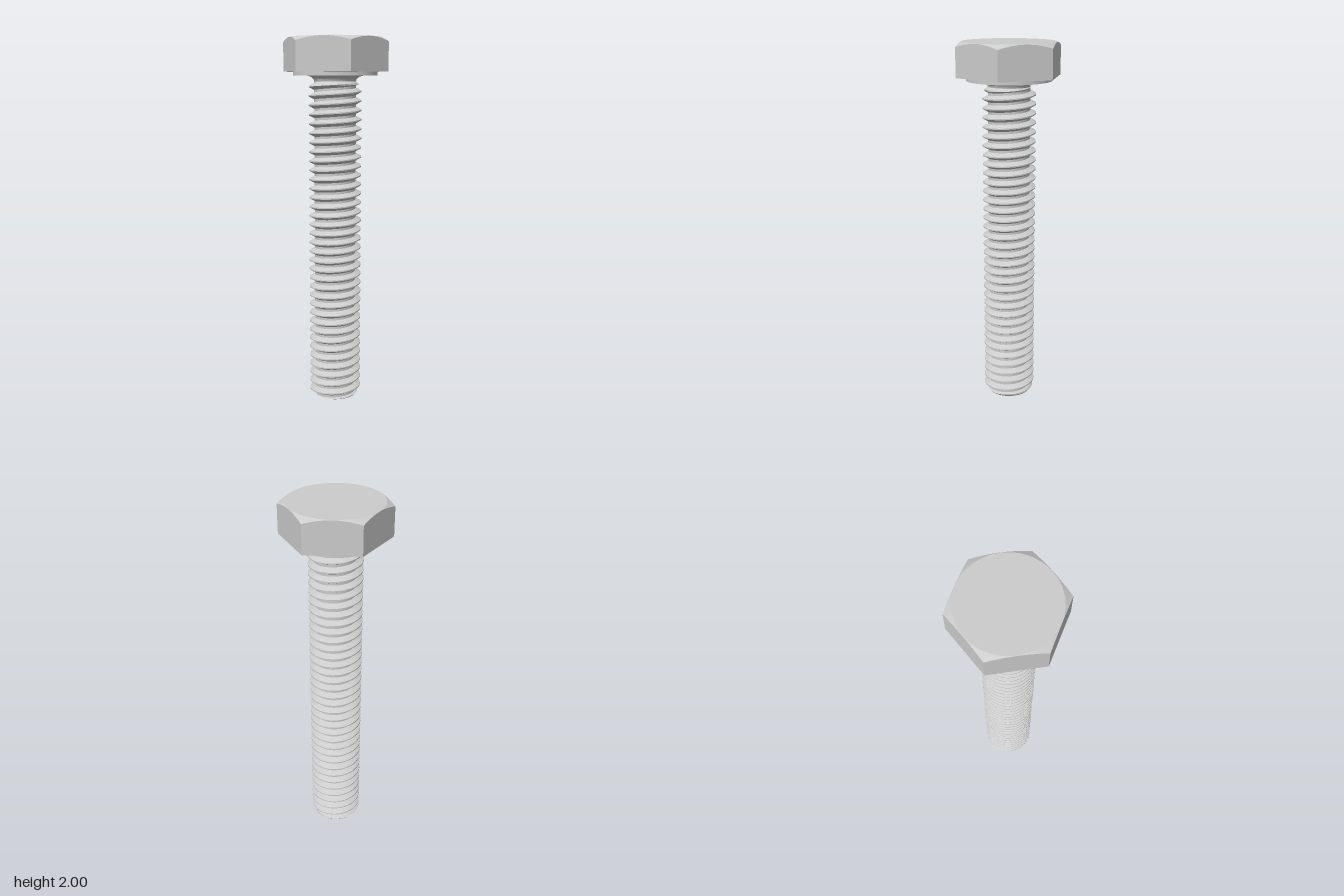
import * as THREE from 'three';
import { toCreasedNormals } from 'three/addons/utils/BufferGeometryUtils.js';

const CREST = 0.143, ROOT = 0.113, PITCH = 0.0504, PHASE = 0.009;
const SHANK_TOP = 1.768, SEAT = 1.799, HEAD_BOTTOM = 1.82, TOP = 2;
const APOTHEM = 0.252, CHAMFER_R = 0.25;

// Right-handed thread: rows follow the helix, ends are cut flat and chamfered
function threadGeometry() {
  const fractions = [-0.375, -0.22, -0.0625, 0.0625, 0.22, 0.375];
  const segments = 64, turns = Math.ceil(SHANK_TOP / PITCH) + 1;
  const positions = [], index = [];

  const radiusAt = (y, turn) => {
    let f = (y - PHASE) / PITCH - turn;
    f = Math.abs(f - Math.round(f));
    const depth = THREE.MathUtils.clamp((f - 0.0625) / 0.3125, 0, 1);
    const endLimit = Math.min(0.12 + y * 0.9, ROOT + (SHANK_TOP - y) * 1.2);
    return Math.min(CREST - depth * (CREST - ROOT), endLimit);
  };

  let rows = 0;
  for (let n = -2; n <= turns; n++) {
    for (const f of fractions) {
      for (let i = 0; i <= segments; i++) {
        const turn = i / segments, a = turn * Math.PI * 2;
        const y = THREE.MathUtils.clamp(PHASE + PITCH * (n + f + turn), 0, SHANK_TOP);
        const r = radiusAt(y, turn);
        positions.push(r * Math.cos(a), y, -r * Math.sin(a));
      }
      rows++;
    }
  }
  const w = segments + 1;
  for (let j = 0; j < rows - 1; j++) {
    for (let i = 0; i < segments; i++) {
      const a = j * w + i, b = a + 1, c = a + w, d = c + 1;
      index.push(a, b, d, a, d, c);
    }
  }
  // Flat tip
  const centre = positions.length / 3;
  positions.push(0, 0, 0);
  for (let i = 0; i < segments; i++) index.push(centre, i + 1, i);

  const g = new THREE.BufferGeometry();
  g.setAttribute('position', new THREE.Float32BufferAttribute(positions, 3));
  g.setIndex(index);
  return toCreasedNormals(g, 0.5);
}

// Hexagonal head: a lathe pushed out to six flats, with a conical top chamfer
function headGeometry() {
  const profile = [[0, HEAD_BOTTOM], [1, HEAD_BOTTOM], [1, 1.95], [CHAMFER_R, TOP], [0, TOP]]
    .map(([r, y]) => new THREE.Vector2(r, y));
  const g = new THREE.LatheGeometry(profile, 96);
  const p = g.attributes.position, sector = Math.PI / 3;
  for (let i = 0; i < p.count; i++) {
    const x = p.getX(i), z = p.getZ(i);
    if (Math.hypot(x, z) < 0.9) continue;
    const a = Math.atan2(x, z);
    const r = APOTHEM / Math.cos(a - Math.round(a / sector) * sector);
    const y = p.getY(i) > 1.9 ? TOP - (r - CHAMFER_R) * Math.tan(Math.PI / 6) : HEAD_BOTTOM;
    p.setXYZ(i, r * Math.sin(a), y, r * Math.cos(a));
  }
  return toCreasedNormals(g, 0.3);
}

// Rounded neck under the head, running out into the round bearing face
function collarGeometry() {
  const points = [];
  for (let i = 0; i <= 8; i++) {
    const a = (i / 8) * Math.PI / 2;
    points.push(new THREE.Vector2(0.16 - (0.16 - ROOT) * Math.cos(a),
      SHANK_TOP + (SEAT - SHANK_TOP) * Math.sin(a)));
  }
  points.push(new THREE.Vector2(0.2275, SEAT), new THREE.Vector2(0.2275, HEAD_BOTTOM));
  return toCreasedNormals(new THREE.LatheGeometry(points, 72), 0.5);
}

export function createModel() {
  const group = new THREE.Group();
  group.name = 'hexBolt';
  const material = new THREE.MeshStandardMaterial({ color: 0xcccccc });
  const add = (name, geometry) => {
    const mesh = new THREE.Mesh(geometry, material);
    mesh.name = name;
    group.add(mesh);
  };
  add('threadedShank', threadGeometry());
  add('neckAndBearingFace', collarGeometry());
  add('hexHead', headGeometry());
  return group;
}
